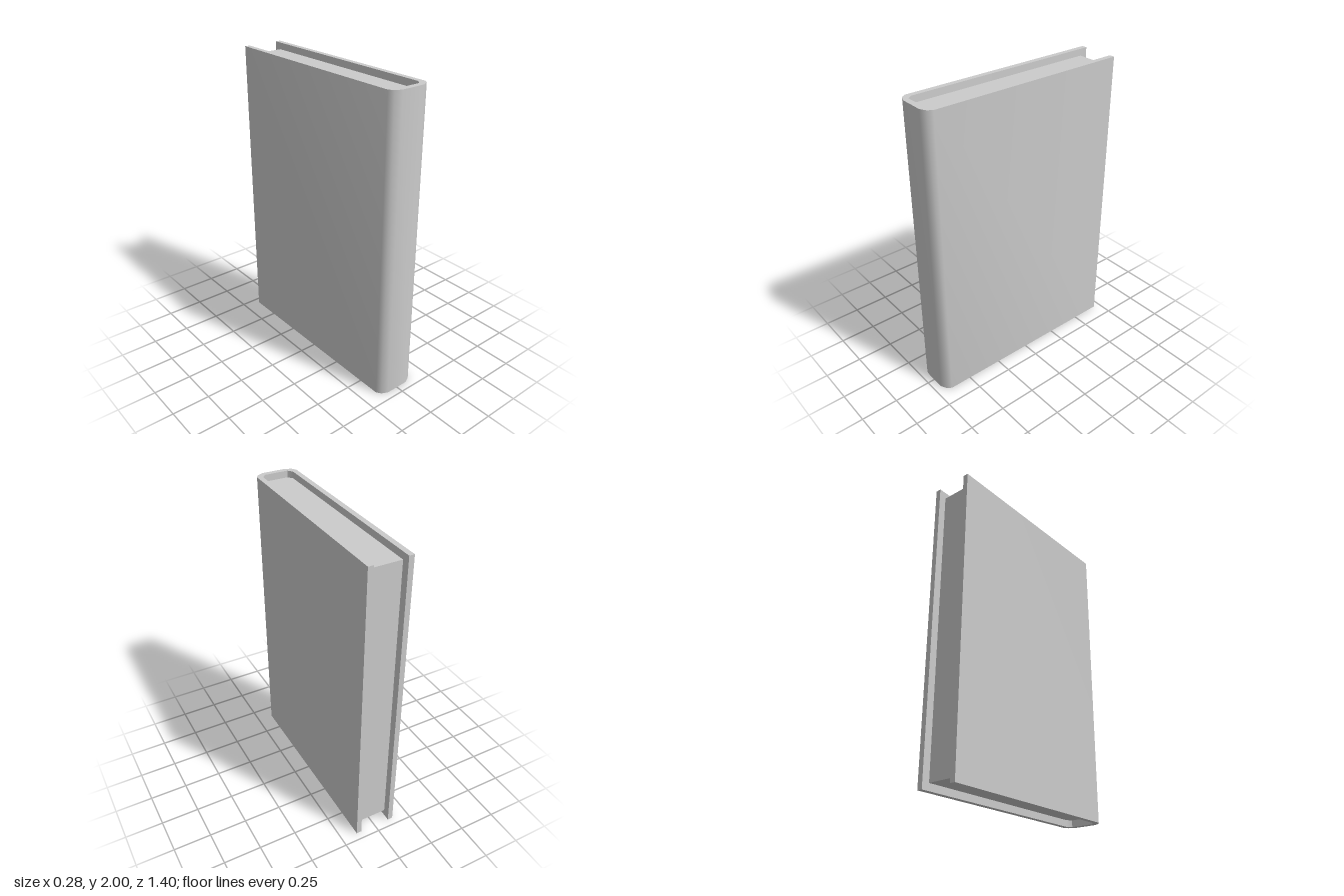
import * as THREE from 'three';
import { toCreasedNormals } from 'three/addons/utils/BufferGeometryUtils.js';

const HEIGHT = 2, RECESS = 0.045;
const grey = new THREE.MeshStandardMaterial({ color: 0xcccccc });

// Mirrors a half outline of [x, z] points, listed from back to front, across x = 0
const mirrored = half => [...half, ...half.map(([x, z]) => [-x, z]).reverse()];

// Extrudes a plan outline upwards from y0 to y1
function upright(name, outline, y0, y1) {
  const shape = new THREE.Shape(outline.map(([x, z]) => new THREE.Vector2(x, -z)));
  const solid = new THREE.ExtrudeGeometry(shape, { depth: y1 - y0, bevelEnabled: false });
  solid.rotateX(-Math.PI / 2).translate(0, y0, 0);
  const mesh = new THREE.Mesh(toCreasedNormals(solid, THREE.MathUtils.degToRad(40)), grey);
  mesh.name = name;
  return mesh;
}

export function createModel() {
  const book = new THREE.Group();
  book.name = 'book';

  // U-shaped cover with a bevelled spine at the front
  const outer = mirrored([[0.14, -0.7], [0.14, 0.65], [0.12, 0.68], [0.08, 0.7]]);
  const inner = mirrored([[0.105, -0.7], [0.105, 0.63], [0.08, 0.663]]);
  book.add(upright('cover', [...outer, ...inner.reverse()], 0, HEIGHT));

  // Page block, set back from the top, bottom and open edge
  const pages = mirrored([[0.105, -0.65], [0.105, 0.63], [0.08, 0.663]]);
  book.add(upright('pages', pages, RECESS, HEIGHT - RECESS));

  return book;
}
